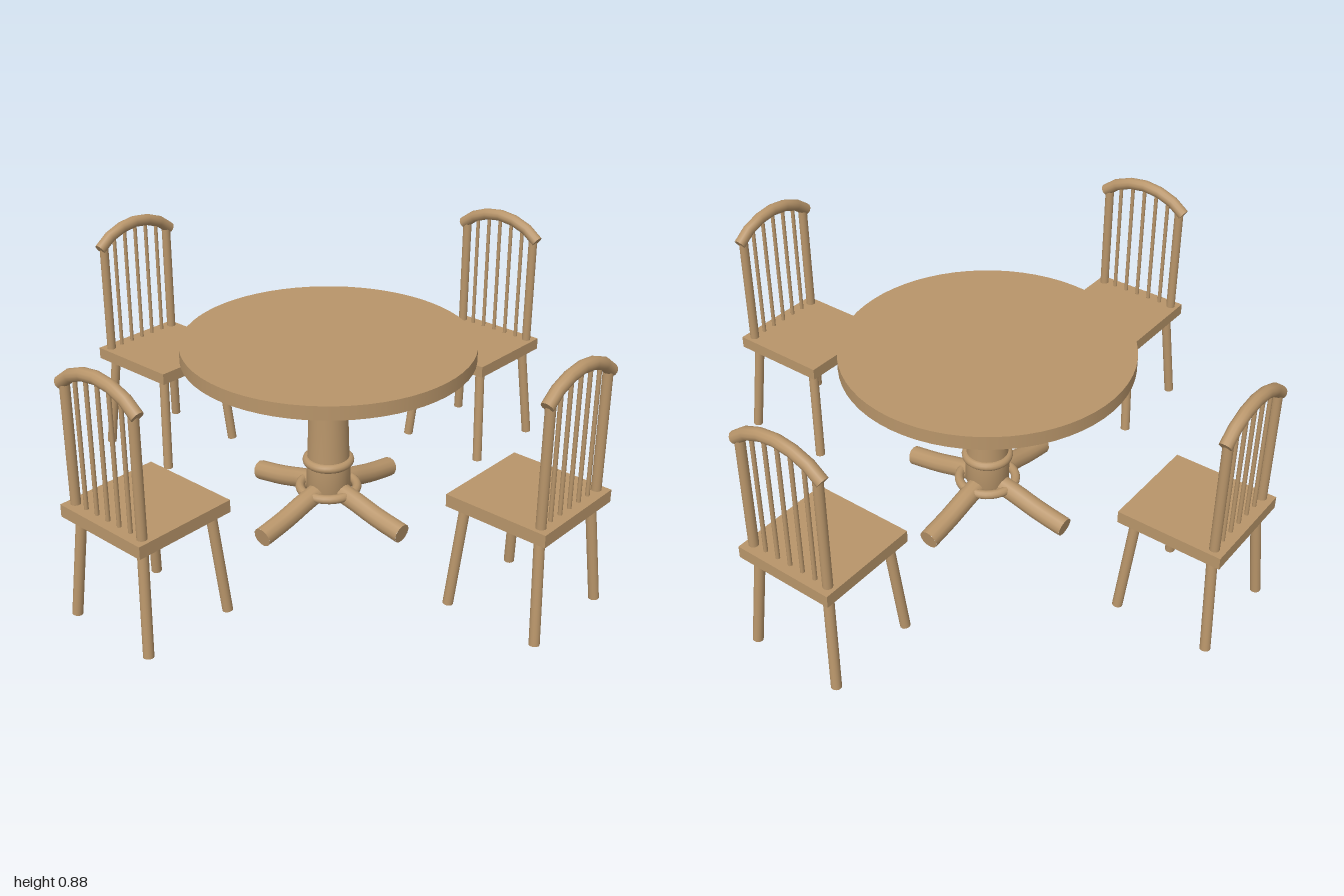
import * as THREE from 'three';

const wood = new THREE.MeshStandardMaterial({ color: 0xb8956a });
wood.name = 'wood';

const V = (x, y, z) => new THREE.Vector3(x, y, z);

function add(group, geometry, name) {
  const mesh = new THREE.Mesh(geometry, wood);
  mesh.name = name;
  group.add(mesh);
  return mesh;
}

// Round bar between two points
function rod(group, a, b, radius, name, sides = 16) {
  const dir = b.clone().sub(a);
  const mesh = add(group, new THREE.CylinderGeometry(radius, radius, dir.length(), sides), name);
  mesh.position.copy(a).add(b).multiplyScalar(0.5);
  mesh.quaternion.setFromUnitVectors(V(0, 1, 0), dir.normalize());
  return mesh;
}

// Bent bar through points, with closed ends
function bentBar(group, points, radius, segments, name, sides = 12) {
  const curve = new THREE.CatmullRomCurve3(points);
  add(group, new THREE.TubeGeometry(curve, segments, radius, sides), name);
  for (const t of [0, 1]) {
    const cap = add(group, new THREE.CircleGeometry(radius, sides), name + 'End');
    const out = curve.getTangent(t).multiplyScalar(t ? 1 : -1);
    cap.position.copy(curve.getPoint(t));
    cap.quaternion.setFromUnitVectors(V(0, 0, 1), out);
  }
}

function ring(group, y, radius, tube, name) {
  const mesh = add(group, new THREE.TorusGeometry(radius, tube, 12, 32), name);
  mesh.rotation.x = Math.PI / 2;
  mesh.position.y = y;
}

function createTable() {
  const table = new THREE.Group();
  table.name = 'table';
  add(table, new THREE.CylinderGeometry(0.495, 0.495, 0.048, 64), 'tableTop').position.y = 0.634;

  // Turned column with a rounded foot
  const profile = [[0, 0.045], [0.035, 0.052], [0.06, 0.075], [0.077, 0.11], [0.077, 0.2],
    [0.073, 0.23], [0.068, 0.4], [0.062, 0.612]].map(([r, y]) => new THREE.Vector2(r, y));
  add(table, new THREE.LatheGeometry(profile, 32), 'column');
  ring(table, 0.547, 0.084, 0.015, 'upperCollar');
  ring(table, 0.21, 0.074, 0.016, 'lowerCollar');
  ring(table, 0.105, 0.1, 0.016, 'footRing');

  // Four splayed feet
  for (let i = 0; i < 4; i++) {
    const foot = new THREE.Group();
    foot.name = 'foot';
    bentBar(foot, [V(0.02, 0.108, 0), V(0.11, 0.092, 0), V(0.22, 0.064, 0), V(0.333, 0.044, 0)],
      0.035, 8, 'footBar');
    foot.rotation.y = i * Math.PI / 2;
    table.add(foot);
  }
  return table;
}

// Chair centred on its seat, with its back towards +z
function createChair() {
  const chair = new THREE.Group();
  chair.name = 'chair';
  add(chair, new THREE.BoxGeometry(0.358, 0.042, 0.358), 'seat').position.y = 0.374;

  for (const sx of [-1, 1]) {
    for (const sz of [-1, 1]) {
      rod(chair, V(sx * 0.167, 0.001, sz * 0.163), V(sx * 0.138, 0.36, sz * 0.134), 0.017, 'leg');
    }
    rod(chair, V(sx * 0.15, 0.39, 0.143), V(sx * 0.15, 0.8, 0.143), 0.016, 'backPost');
  }
  for (let i = -2; i <= 2; i++) {
    rod(chair, V(i * 0.05, 0.39, 0.143), V(i * 0.05, 0.85 - Math.abs(i) * 0.012, 0.143), 0.007, 'spindle', 10);
  }
  bentBar(chair, [V(-0.168, 0.79, 0.143), V(-0.105, 0.834, 0.143), V(0, 0.856, 0.143),
    V(0.105, 0.834, 0.143), V(0.168, 0.79, 0.143)], 0.021, 6, 'topRail');
  return chair;
}

export function createModel() {
  const model = new THREE.Group();
  model.name = 'diningSet';
  model.add(createTable());

  // Four chairs facing the table
  for (let i = 0; i < 4; i++) {
    const angle = i * Math.PI / 2;
    const chair = createChair();
    chair.rotation.y = angle;
    chair.position.set(Math.sin(angle) * 0.82, 0, Math.cos(angle) * 0.82);
    model.add(chair);
  }
  return model;
}
